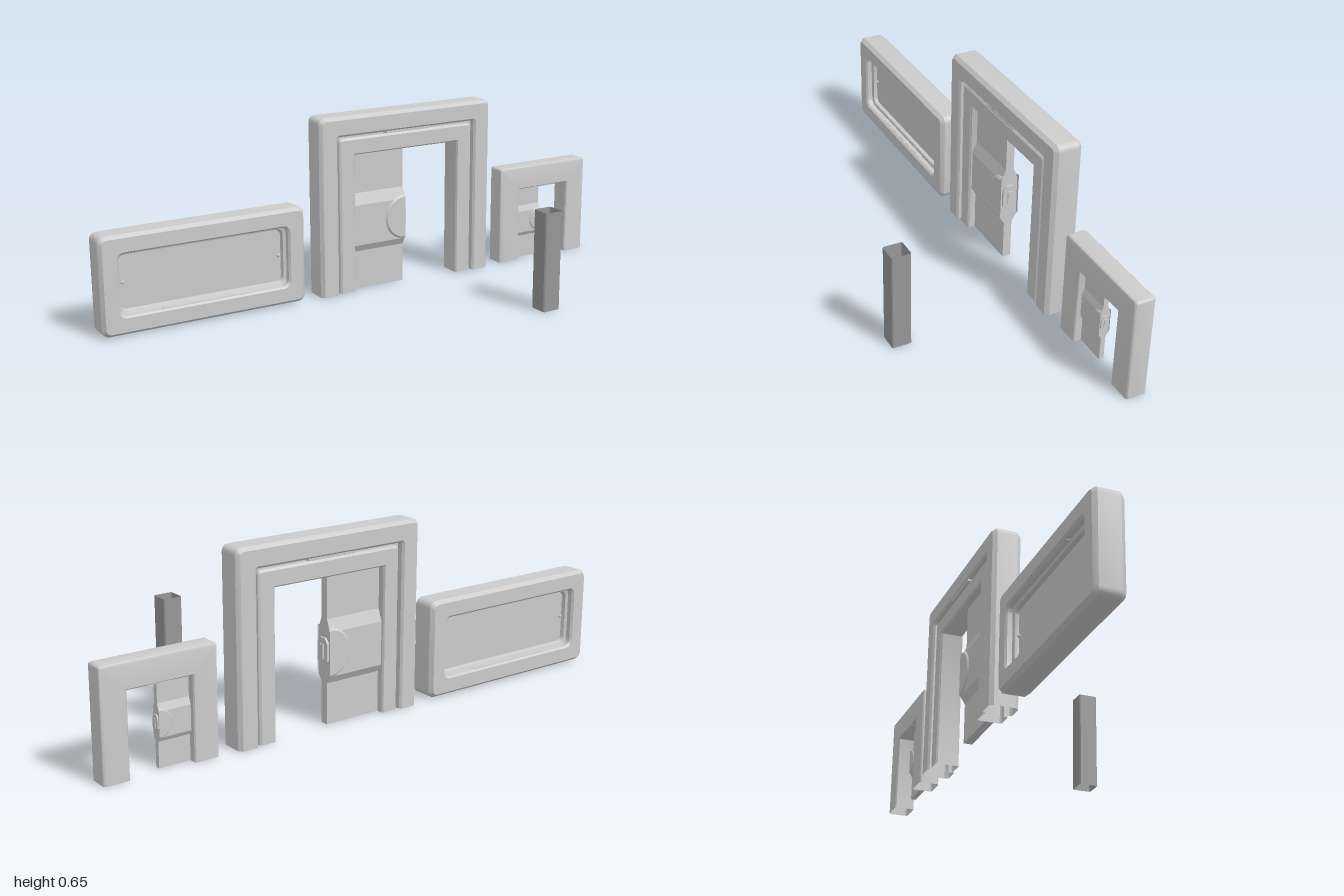
import * as THREE from 'three';
import { toCreasedNormals } from 'three/addons/utils/BufferGeometryUtils.js';

const grey = new THREE.MeshStandardMaterial({ color: 0xcccccc });
const greyDouble = new THREE.MeshStandardMaterial({ color: 0xcccccc, side: THREE.DoubleSide });
const dark = new THREE.MeshStandardMaterial({ color: 0x979797, side: THREE.DoubleSide });

function add(parent, name, geometry, x = 0, y = 0, z = 0, material = grey) {
  const mesh = new THREE.Mesh(geometry, material);
  mesh.name = name;
  mesh.position.set(x, y, z);
  parent.add(mesh);
  return mesh;
}

const box = (w, h, d) => new THREE.BoxGeometry(w, h, d);

// Outline of a w x h panel, inset by d with corner radius r, clockwise from the bottom left.
// An arch has two legs that end at y = 0; otherwise the outline is closed.
function outline(w, h, d, r, arch) {
  const pts = [];
  const corner = (sx, sy, start) => {
    const cx = sx * (w / 2 - d - r);
    const cy = h / 2 + sy * (h / 2 - d - r);
    for (let i = 0; i <= 5; i++) {
      const a = start - (i / 5) * Math.PI / 2;
      pts.push([cx + r * Math.cos(a), cy + r * Math.sin(a)]);
    }
  };
  if (arch) pts.push([-w / 2 + d, 0]);
  corner(-1, 1, Math.PI);
  corner(1, 1, Math.PI / 2);
  if (arch) pts.push([w / 2 - d, 0]);
  else {
    corner(1, -1, 0);
    corner(-1, -1, -Math.PI / 2);
  }
  return pts;
}

// Frame swept from a half profile of [inset, z, corner radius], mirrored front to back.
function frame(w, h, half, arch) {
  const profile = [...half, ...half.map(([d, z, r]) => [d, -z, r]).reverse()];
  const pos = [];
  const index = [];
  const rings = profile.map(([d, z, r]) => outline(w, h, d, r, arch).map(([x, y]) => [x, y, z]));
  const n = rings[0].length;
  rings.forEach((ring) => ring.forEach((p) => pos.push(...p)));
  rings.forEach((_, j) => {
    const k = (j + 1) % rings.length;
    for (let i = 0; i < (arch ? n - 1 : n); i++) {
      const i2 = (i + 1) % n;
      const a = j * n + i, b = j * n + i2, c = k * n + i, d = k * n + i2;
      index.push(a, c, b, b, c, d);
    }
  });
  const geo = new THREE.BufferGeometry();
  geo.setAttribute('position', new THREE.Float32BufferAttribute(pos, 3));
  geo.setIndex(index);
  return toCreasedNormals(geo, 0.6);
}

// Slab along x whose side outline is given as [half depth, y] from bottom to top.
function slab(length, side) {
  const pts = [...side, ...side.map(([z, y]) => [-z, y]).reverse()];
  const shape = new THREE.Shape(pts.map(([z, y]) => new THREE.Vector2(z, y)));
  return new THREE.ExtrudeGeometry(shape, { depth: length, bevelEnabled: false }).rotateY(Math.PI / 2);
}

// Sliding leaf with a thick middle band, half-round lock and edge latch
function slidingLeaf(name, x0, x1, h, yc, s) {
  const leaf = new THREE.Group();
  leaf.name = name;
  const t = 0.015 * s, b = 0.031 * s;
  add(leaf, 'leafPanel', slab(x1 - x0, [
    [t, 0], [t, yc - 0.108 * s], [b, yc - 0.082 * s],
    [b, yc + 0.068 * s], [t, yc + 0.11 * s], [t, h],
  ]), x0);
  const r = 0.084 * s, e = 0.037 * s, c = 0.008 * s;
  const disc = [[0, -e], [r - c, -e], [r, -e + c], [r, e - c], [r - c, e], [0, e]]
    .map(([x, y]) => new THREE.Vector2(x, y));
  const lock = toCreasedNormals(new THREE.LatheGeometry(disc, 20, Math.PI, Math.PI), 0.5).rotateX(Math.PI / 2);
  add(leaf, 'halfRoundLock', lock, x1, yc, 0, greyDouble);
  add(leaf, 'edgeLatch', slab(0.02 * s, [
    [0.014 * s, -0.046 * s], [0.026 * s, -0.03 * s], [0.026 * s, 0.03 * s], [0.014 * s, 0.046 * s],
  ]), x1 - 0.012 * s, yc);
  add(leaf, 'latchBar', box(0.012 * s, 0.05 * s, 0.018 * s), x1 + 0.007 * s, yc);
  return leaf;
}

export function createModel() {
  const model = new THREE.Group();
  const wall = new THREE.Group();
  wall.name = 'wallPieces';
  wall.position.z = -0.265;
  model.add(wall);

  // Window: bevelled frame, stepped opening and pane
  const win = new THREE.Group();
  win.name = 'window';
  win.position.set(-0.6255, 0.005, 0);
  wall.add(win);
  add(win, 'windowFrame', frame(0.749, 0.345, [
    [0, 0.036, 0.025], [0.011, 0.05, 0.018], [0.059, 0.05, 0.025], [0.065, 0.043, 0.025],
    [0.065, 0.026, 0.025], [0.075, 0.022, 0.02], [0.079, 0.01, 0.02],
  ], false));
  add(win, 'pane', box(0.6, 0.2, 0.018), 0, 0.1725);
  for (const side of [-1, 1]) {
    add(win, 'paneStud', new THREE.SphereGeometry(0.006, 10, 8), side * 0.286, 0.1725, 0.012);
    add(win, 'paneStud', new THREE.SphereGeometry(0.006, 10, 8), side * 0.286, 0.1725, -0.012);
    add(win, 'openingStrip', box(0.32, 0.006, 0.08), 0, 0.1725 + side * 0.109);
  }

  // Large doorway: outer arch, groove and inner arch
  const large = new THREE.Group();
  large.name = 'largeDoorway';
  large.position.x = 0.173;
  wall.add(large);
  add(large, 'largeDoorFrame', frame(0.718, 0.65, [
    [0, 0.036, 0.022], [0.011, 0.05, 0.015], [0.064, 0.05, 0.012], [0.071, 0.043, 0.012],
    [0.071, 0.024, 0.012], [0.081, 0.024, 0.012], [0.081, 0.036, 0.012], [0.088, 0.042, 0.008],
    [0.138, 0.042, 0.003], [0.143, 0.036, 0.003],
  ], true), 0, 0, 0, greyDouble);
  add(large, 'lintelStrip', box(0.18, 0.008, 0.092), 0, 0.576);
  wall.add(slidingLeaf('largeSlidingLeaf', -0.044, 0.17, 0.508, 0.25, 1));

  // Small doorway
  const small = new THREE.Group();
  small.name = 'smallDoorway';
  small.position.x = 0.8;
  wall.add(small);
  add(small, 'smallDoorFrame', frame(0.4, 0.37, [
    [0, 0.0275, 0.009], [0.0012, 0.032, 0.008], [0.0045, 0.0353, 0.0055], [0.009, 0.0365, 0.003],
    [0.084, 0.0365, 0.003], [0.088, 0.032, 0.003],
  ], true), 0, 0, 0, greyDouble);
  add(small, 'lintelStrip', box(0.09, 0.006, 0.068), 0, 0.284);
  wall.add(slidingLeaf('smallSlidingLeaf', 0.687, 0.799, 0.284, 0.147, 0.56));

  // Free-standing hollow post with chamfered edges, open at both ends
  const h = 0.0345, c = 0.004;
  const ring = [[h - c, h], [h, h - c], [h, c - h], [h - c, -h], [c - h, -h], [-h, c - h], [-h, h - c], [c - h, h]];
  const pos = [];
  const index = [];
  ring.forEach(([x, z], i) => {
    pos.push(x, 0, z, x, 0.355, z);
    const a = 2 * i, b = 2 * ((i + 1) % ring.length);
    index.push(a, b, a + 1, b, b + 1, a + 1);
  });
  const post = new THREE.BufferGeometry();
  post.setAttribute('position', new THREE.Float32BufferAttribute(pos, 3));
  post.setIndex(index);
  add(model, 'post', toCreasedNormals(post, 0.5), 0.43, 0, 0.2805, dark);

  return model;
}
